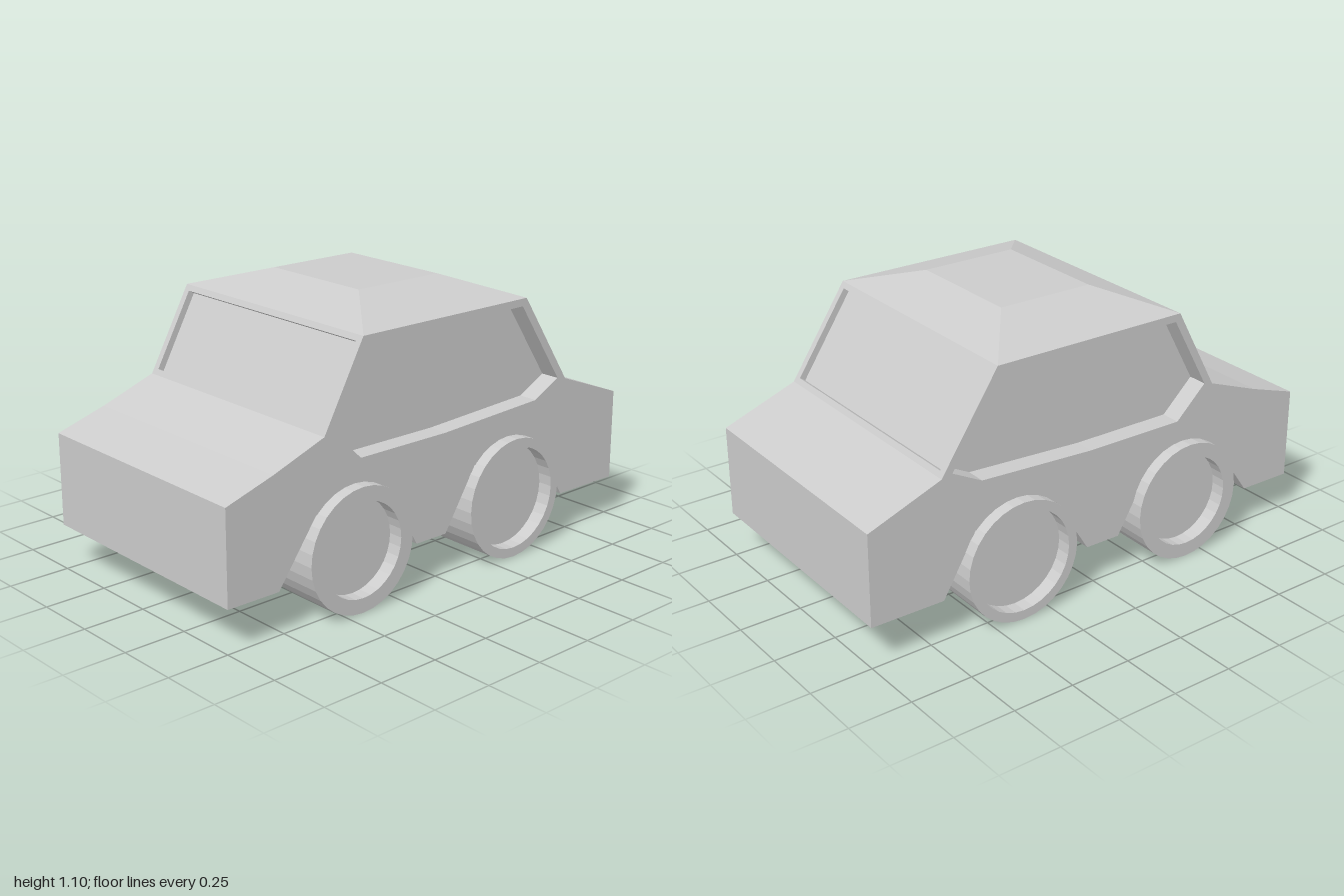
import * as THREE from 'three';

const HALF = 0.517;    // half width of the body
const FRAME = 0.49;    // half width of the windscreen openings
const GLASS = 0.437;   // depth at which the side windows sit

const material = new THREE.MeshStandardMaterial({ color: 0xcccccc, flatShading: true });

function add(parent, name, geometry) {
  const mesh = new THREE.Mesh(geometry, material);
  mesh.name = name;
  parent.add(mesh);
  return mesh;
}

const toPoints = (list) => list.map(([x, y]) => new THREE.Vector2(x, y));

// Straight edge a-b with a shallow recess cut into it, leaving a narrow rim at both ends
function recessedEdge(a, b, depth = 0.027, rim = 0.024) {
  const [A, B] = toPoints([a, b]);
  const along = B.clone().sub(A).normalize();
  const inward = new THREE.Vector2(-along.y, along.x).multiplyScalar(depth);
  const p = A.clone().addScaledVector(along, rim);
  const q = B.clone().addScaledVector(along, -rim);
  return [A, p, p.clone().add(inward), q.clone().add(inward), q, B].map((v) => [v.x, v.y]);
}

// Side profile, counter-clockwise from the rear lower corner, with two wheel arches
function bodyProfile(recessed) {
  const edge = recessed ? recessedEdge : (a, b) => [a, b];
  return [
    [-0.994, 0.17], [-0.77, 0.17], [-0.6, 0.41], [-0.25, 0.41], [-0.11, 0.17],
    [0.04, 0.17], [0.19, 0.41], [0.55, 0.41], [0.69, 0.17], [0.994, 0.17],
    [0.994, 0.54],
    ...edge([0.69, 0.655], [0.45, 1.02]),
    ...edge([-0.38, 1.02], [-0.56, 0.69]),
    [-0.79, 0.605], [-0.994, 0.54],
  ];
}

const sideWindow = [
  [-0.36, 0.99], [0.43, 0.99], [0.645, 0.665], [0.52, 0.6],
  [0.03, 0.575], [-0.39, 0.575], [-0.52, 0.7],
];

// One slice of the body between two z positions
function bodySlice(z0, z1, recessed, windowed) {
  const shape = new THREE.Shape(toPoints(bodyProfile(recessed)));
  if (windowed) shape.holes.push(new THREE.Path(toPoints(sideWindow)));
  return new THREE.ExtrudeGeometry(shape, { depth: z1 - z0, bevelEnabled: false }).translate(0, 0, z0);
}

// Roof: a box whose upper face is drawn in to a smaller rectangle
function roofGeometry() {
  const geometry = new THREE.BoxGeometry(1, 1, 1);
  const pos = geometry.attributes.position;
  for (let i = 0; i < pos.count; i++) {
    const top = pos.getY(i) > 0;
    const right = pos.getX(i) > 0;
    const x = top ? (right ? 0.24 : -0.16) : (right ? 0.45 : -0.38);
    pos.setXYZ(i, x, top ? 1.1 : 1.02, Math.sign(pos.getZ(i)) * (top ? 0.245 : HALF));
  }
  geometry.computeVertexNormals();
  return geometry;
}

// Wheel: closed inner face, broad tread and a dished hub facing +z
function wheelGeometry(hubRadius) {
  const profile = toPoints([
    [0, 0.305], [0.243, 0.305], [0.243, 0.565], [hubRadius, 0.565], [hubRadius, 0.505], [0, 0.505],
  ]);
  return new THREE.LatheGeometry(profile, 32).rotateX(Math.PI / 2);
}

export function createModel() {
  const car = new THREE.Group();
  car.name = 'car';

  // Body in layers: solid core, window surrounds and outer side panels
  const body = new THREE.Group();
  body.name = 'body';
  car.add(body);
  add(body, 'bodyCore', bodySlice(-GLASS, GLASS, true, false));
  add(body, 'leftWindowSurround', bodySlice(GLASS, FRAME, true, true));
  add(body, 'rightWindowSurround', bodySlice(-FRAME, -GLASS, true, true));
  add(body, 'leftSidePanel', bodySlice(FRAME, HALF, false, true));
  add(body, 'rightSidePanel', bodySlice(-HALF, -FRAME, false, true));
  add(body, 'roof', roofGeometry());

  // Four wheels, the second of each pair turned to face the other side
  const axles = [
    { name: 'rearWheel', x: -0.42, hub: 0.185 },
    { name: 'frontWheel', x: 0.37, hub: 0.205 },
  ];
  for (const { name, x, hub } of axles) {
    for (const side of [1, -1]) {
      const wheel = add(car, name, wheelGeometry(hub));
      wheel.position.set(x, 0.243, 0);
      if (side < 0) wheel.rotation.y = Math.PI;
    }
  }

  // The whole car stands very slightly turned
  car.rotation.y = -0.0115;
  const model = new THREE.Group();
  model.name = 'model';
  model.add(car);
  return model;
}
